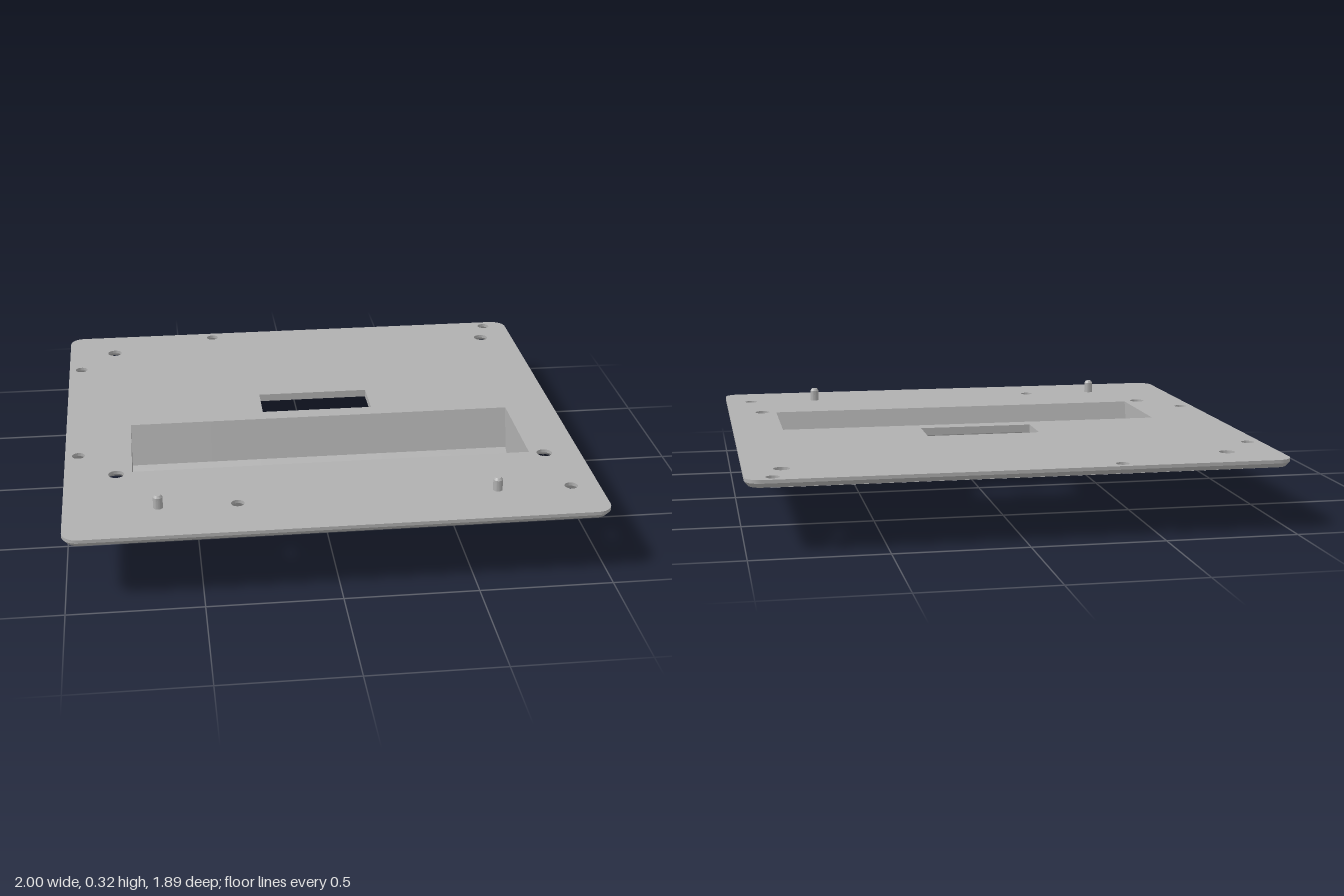
import * as THREE from 'three';
import { toCreasedNormals } from 'three/addons/utils/BufferGeometryUtils.js';

const TOP = 0.27, EDGE = 0.257, BOTTOM = 0.24;

// Closed outlines in the x-z plane, as Vector2(x, z)
const circle = (cx, cz, r, n = 28) => Array.from({ length: n }, (_, i) => {
  const a = (i / n) * Math.PI * 2;
  return new THREE.Vector2(cx + r * Math.cos(a), cz + r * Math.sin(a));
});
const rect = (x0, x1, z0, z1) =>
  [[x0, z0], [x1, z0], [x1, z1], [x0, z1]].map(p => new THREE.Vector2(...p));
function roundedRect(hx, hz, r) {
  const pts = [];
  [[1, 1], [-1, 1], [-1, -1], [1, -1]].forEach(([sx, sz], q) => {
    for (let i = 0; i <= 8; i++) {
      const a = (q + i / 8) * Math.PI / 2;
      pts.push(new THREE.Vector2(sx * (hx - r) + r * Math.cos(a), sz * (hz - r) + r * Math.sin(a)));
    }
  });
  return pts;
}

// Surface between two rows of 3D points
function strip(a, b, closed) {
  const pos = [];
  for (let i = 0; i < a.length - (closed ? 0 : 1); i++) {
    const j = (i + 1) % a.length;
    for (const p of [a[i], b[i], a[j], a[j], b[i], b[j]]) pos.push(...p);
  }
  const g = new THREE.BufferGeometry();
  g.setAttribute('position', new THREE.Float32BufferAttribute(pos, 3));
  return toCreasedNormals(g, 0.45);
}
const wall = (a, ya, b, yb) =>
  strip(a.map(p => [p.x, ya, p.y]), b.map(p => [p.x, yb, p.y]), true);
// Sweep a [z, y] profile along x
const sweep = (profile, x0, x1) =>
  strip(profile.map(([z, y]) => [x0, y, z]), profile.map(([z, y]) => [x1, y, z]), false);
// Flat [z, y] polygon at a given x
function panel(profile, x) {
  const g = new THREE.ShapeGeometry(new THREE.Shape(profile.map(p => new THREE.Vector2(...p))));
  return g.rotateY(-Math.PI / 2).translate(x, 0, 0);
}
// Flat face with holes at a given height
function sheet(outline, holes, y) {
  const s = new THREE.Shape(outline);
  s.holes = holes.map(h => new THREE.Path(h));
  return new THREE.ShapeGeometry(s).rotateX(Math.PI / 2).translate(0, y, 0);
}
// Mirror a half profile [dz, y] (front rim to centre) about z = c
const mirrored = (half, c) => [
  ...half.map(([d, y]) => [c + d, y]),
  ...half.slice(0, -1).reverse().map(([d, y]) => [c - d, y]),
];

export function createModel() {
  const group = new THREE.Group();
  const grey = new THREE.MeshStandardMaterial({ color: 0xb0b0b0, side: THREE.DoubleSide });
  grey.name = 'grey';
  const add = (name, geometry, parent = group) => {
    const m = new THREE.Mesh(geometry, grey);
    m.name = name;
    parent.add(m);
    return m;
  };
  const part = name => {
    const g = new THREE.Group();
    g.name = name;
    group.add(g);
    return g;
  };

  // Plate with chamfered lower edge, slot, trough opening and countersunk screw holes
  const plate = part('plate');
  const screws = [
    [-0.36, -0.9], [0.9, -0.9], [-0.948, -0.587], [-0.948, 0.268], [-0.36, 0.73], [0.893, 0.73],
  ].map(p => [...p, 0.025, 0.036]).concat([
    [-0.803, -0.762], [0.86, -0.762], [-0.803, 0.445], [0.86, 0.445],
  ].map(p => [...p, 0.03, 0.05]));
  const slot = rect(-0.2, 0.25, -0.235, -0.06);
  const opening = rect(-0.742, 0.802, 0.008, 0.43);
  const outer = roundedRect(1, 0.947, 0.06);
  const inset = roundedRect(0.986, 0.933, 0.048);
  add('plateTop', sheet(outer, [slot, opening, ...screws.map(([x, z, r]) => circle(x, z, r))], TOP), plate);
  add('plateBottom', sheet(inset, [slot, opening, ...screws.map(([x, z, , r]) => circle(x, z, r))], BOTTOM), plate);
  add('plateRim', wall(outer, TOP, outer, EDGE), plate);
  add('plateChamfer', wall(outer, EDGE, inset, BOTTOM), plate);
  add('slotWall', wall(slot, TOP, slot, BOTTOM), plate);
  for (const [x, z, r, big] of screws) {
    add('screwHole', wall(circle(x, z, r), TOP, circle(x, z, r), EDGE), plate);
    add('countersink', wall(circle(x, z, r), EDGE, circle(x, z, big), BOTTOM), plate);
  }

  // Trough outside: round keel, sloping sides, notched front corners
  const trough = part('trough');
  const X0 = -0.78, X1 = 0.84, NOTCH = 0.015;
  const shell = mirrored([
    [0.243, BOTTOM], [0.2, 0.09], [0.185, 0.075], [0.1, 0.026], [0.08, 0.0155],
    [0.06, 0.0085], [0.04, 0.004], [0.02, 0.001], [0, 0],
  ], 0.222);
  const [rim, knee] = shell;
  const corner = [knee[0] - 0.008, BOTTOM];
  add('troughKeel', sweep(shell.slice(1), X0, X1), trough);
  add('troughFront', sweep([rim, knee], X0 + NOTCH, X1 - NOTCH), trough);
  for (const [end, inner] of [[X0, X0 + NOTCH], [X1, X1 - NOTCH]]) {
    add('troughEnd', panel([corner, ...shell.slice(1)], end), trough);
    add('notchBack', sweep([corner, knee], end, inner), trough);
    add('notchSide', panel([rim, knee, corner], inner), trough);
  }

  // Trough inside, with two flat-floored pockets
  const C = 0.219, FLOOR = 0.03, P = 0.087;
  const bowl = mirrored([
    [0.211, TOP], [0.17, 0.108], [P, 0.06], [0.07, 0.0495], [0.053, 0.041],
    [0.035, 0.0345], [0.018, 0.031], [0, FLOOR],
  ], C);
  const pocketed = [
    ...bowl.slice(0, 3), [C + P, FLOOR], [C - P, FLOOR], ...bowl.slice(-3),
  ];
  const stops = [-0.742, -0.42, -0.22, 0.28, 0.48, 0.802];
  for (let i = 0; i < 5; i++) {
    const pocket = i % 2 === 1;
    add(pocket ? 'pocketFloor' : 'troughFloor', sweep(pocket ? pocketed : bowl, stops[i], stops[i + 1]), trough);
  }
  for (const x of stops.slice(1, 5)) {
    add('pocketSide', panel([...bowl.slice(2, 8), [C + P, FLOOR]], x), trough);
    add('pocketSide', panel([...bowl.slice(7, 13), [C - P, FLOOR]], x), trough);
  }
  for (const x of [stops[0], stops[5]]) add('troughInnerEnd', panel(bowl, x), trough);

  // Two locating pins with chamfered tips
  const pinProfile = [[0.018, 0], [0.018, 0.043], [0.012, 0.052], [0, 0.052]]
    .map(p => new THREE.Vector2(...p));
  for (const x of [-0.652, 0.612]) {
    const pin = add('pin', toCreasedNormals(new THREE.LatheGeometry(pinProfile, 20), 0.45));
    pin.position.set(x, TOP, 0.73);
  }
  return group;
}
